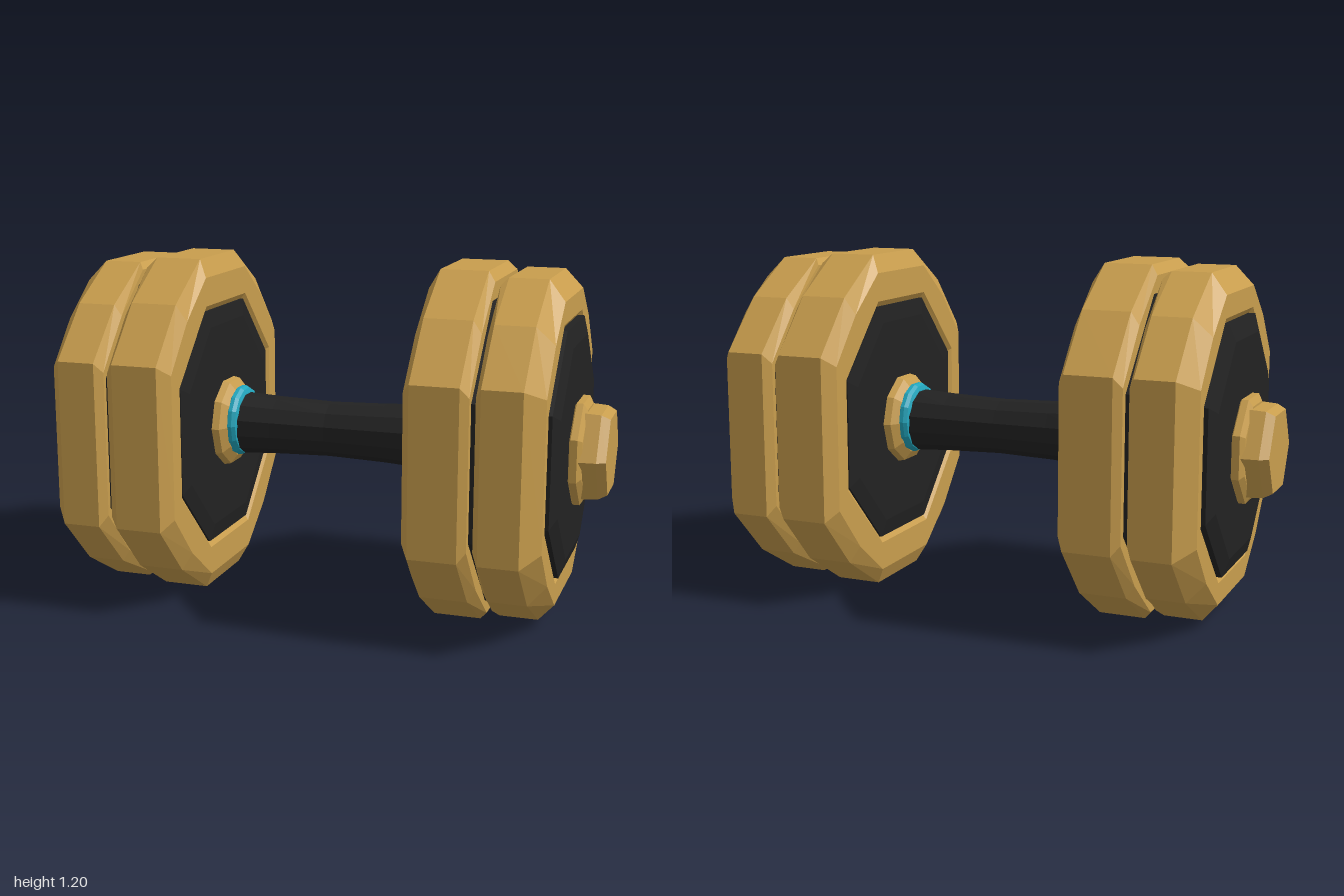
import * as THREE from 'three';

const CENTER_Y = 0.603;

// Chamfered-octagon section: half flats a and b, half height h, half width w;
// m pushes the middle of each diagonal outwards.
function octagon(h, a, w, b, m = 1) {
  const my = (h + b) / 2 * m, mz = (a + w) / 2 * m;
  return [[h, a], [my, mz], [b, w], [-b, w], [-my, mz], [-h, a],
    [-h, -a], [-my, -mz], [-b, -w], [b, -w], [my, -mz], [h, -a]];
}

// Regular polygon section
function polygon(r, n, turn = 0) {
  return Array.from({ length: n }, (_, i) => {
    const t = (i + turn) / n * Math.PI * 2;
    return [r * Math.cos(t), r * Math.sin(t)];
  });
}

// Skin a list of [x, section] rings, in order, with flat quads
function loft(rings) {
  const pos = [];
  for (let i = 0; i < rings.length - 1; i++) {
    const [xa, A] = rings[i], [xb, B] = rings[i + 1], n = A.length;
    for (let j = 0; j < n; j++) {
      const k = (j + 1) % n;
      const a = [xa, ...A[j]], b = [xa, ...A[k]], c = [xb, ...B[k]], d = [xb, ...B[j]];
      pos.push(...a, ...b, ...c, ...a, ...c, ...d);
    }
  }
  const g = new THREE.BufferGeometry();
  g.setAttribute('position', new THREE.Float32BufferAttribute(pos, 3));
  g.computeVertexNormals();
  return g;
}

// Solid from polygon rings [x, radius], closed at both ends
function solid(profile, n, turn) {
  const ends = [[profile[0][0], 0], ...profile, [profile[profile.length - 1][0], 0]];
  return loft(ends.map(([x, r]) => [x, polygon(r, n, turn)]));
}

export function createModel() {
  const mat = (name, color) => {
    const m = new THREE.MeshStandardMaterial({ color, flatShading: true });
    m.name = name;
    return m;
  };
  const gold = mat('gold', 0xc89d4d);
  const black = mat('black', 0x222222);
  const teal = mat('teal', 0x22a6bd);

  const model = new THREE.Group();
  model.name = 'dumbbell';
  const add = (parent, name, geometry, material) => {
    const mesh = new THREE.Mesh(geometry, material);
    mesh.name = name;
    parent.add(mesh);
    return mesh;
  };

  // Sections shared by the plates
  const tread = (h) => octagon(h, 0.155, 0.535, 0.285, 1.06);
  const shoulder = (h) => octagon(h, 0.18, h - 0.055, 0.25, 1.04);
  const lip = octagon(0.44, 0.18, 0.42, 0.195);
  const bore = octagon(0.42, 0.175, 0.4, 0.187);
  const core = (s) => octagon(0.42 * s, 0.175 * s, 0.4 * s, 0.187 * s);

  const innerPlate = loft([
    [0.415, bore], [0.4, lip], [0.4, shoulder(0.54)], [0.432, tread(0.602)],
    [0.595, tread(0.602)], [0.622, shoulder(0.57)], [0.622, bore],
  ]);
  const outerPlate = loft([
    [0.64, bore], [0.64, shoulder(0.56)], [0.662, tread(0.583)],
    [0.795, tread(0.583)], [0.853, shoulder(0.515)], [0.853, lip], [0.838, bore],
  ]);
  // Black core: filler disc shows in the gap between the plates
  const coreGeometry = loft([
    [0.397, core(0)], [0.397, core(0.86)], [0.407, core(1)], [0.61, core(1)],
    [0.61, core(1.22)], [0.65, core(1.22)], [0.65, core(1)],
    [0.862, core(1)], [0.88, core(0.86)], [0.88, core(0)],
  ]);
  const nutCollar = solid([[0.87, 0.165], [0.885, 0.19], [0.908, 0.19], [0.922, 0.165]], 8, 0.5);
  const endNut = solid([[0.9, 0.172], [0.97, 0.167], [1.0, 0.15]], 6, 0.5);
  const innerCollar = solid([[0.35, 0.125], [0.36, 0.14], [0.372, 0.158], [0.405, 0.165]], 10, 0.5);
  const gripRing = solid([[0.32, 0.105], [0.325, 0.12], [0.338, 0.127], [0.352, 0.127], [0.362, 0.115]], 14, 0.5);

  // One weight, turned round for the other end
  for (const [side, turn] of [['left', 0], ['right', Math.PI]]) {
    const weight = new THREE.Group();
    weight.name = side + 'Weight';
    weight.position.y = CENTER_Y;
    weight.rotation.y = turn;
    add(weight, 'innerPlate', innerPlate, gold);
    add(weight, 'outerPlate', outerPlate, gold);
    add(weight, 'plateCore', coreGeometry, black);
    add(weight, 'nutCollar', nutCollar, gold).position.y = -0.013;
    add(weight, 'endNut', endNut, gold).position.y = -0.015;
    add(weight, 'innerCollar', innerCollar, gold).position.y = -0.005;
    add(weight, 'gripRing', gripRing, teal);
    model.add(weight);
  }

  // Slightly waisted handle
  const grip = solid([[-0.34, 0.112], [-0.2, 0.104], [0, 0.098], [0.2, 0.104], [0.34, 0.112]], 12, 0.5);
  add(model, 'grip', grip, black).position.y = CENTER_Y - 0.008;

  return model;
}
